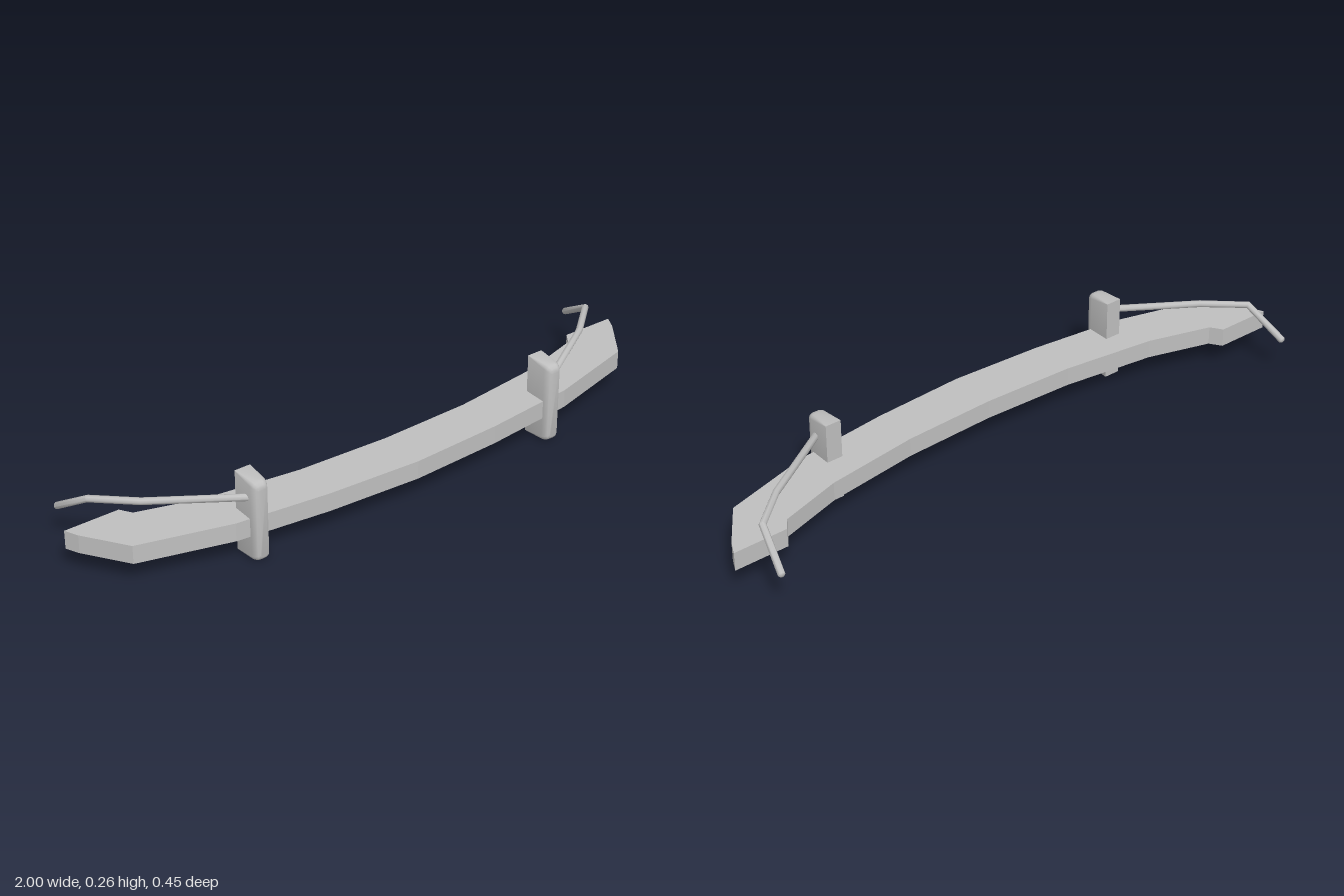
import * as THREE from 'three';
import { toCreasedNormals } from 'three/addons/utils/BufferGeometryUtils.js';

// Skin a row of equal-length rings (counter-clockwise about the travel direction) and cap both ends
function loft(rings, crease) {
  const n = rings[0].length;
  const index = [];
  for (let i = 0; i < rings.length - 1; i++) {
    for (let j = 0; j < n; j++) {
      const a = i * n + j, b = i * n + (j + 1) % n;
      index.push(a, b, a + n, b, b + n, a + n);
    }
  }
  const last = (rings.length - 1) * n;
  for (let j = 1; j < n - 1; j++) {
    index.push(0, j + 1, j, last, last + j, last + j + 1);
  }
  const geometry = new THREE.BufferGeometry().setFromPoints(rings.flat());
  geometry.setIndex(index);
  return toCreasedNormals(geometry, crease);
}

// Upright rectangle with rounded corners at depth z
function roundedRing(halfW, halfH, radius, z) {
  const ring = [];
  const corners = [[1, 1], [-1, 1], [-1, -1], [1, -1]];
  corners.forEach(([sx, sy], c) => {
    for (let k = 0; k <= 3; k++) {
      const a = (c + k / 3) * Math.PI / 2;
      ring.push(new THREE.Vector3(
        sx * (halfW - radius) + radius * Math.cos(a),
        sy * (halfH - radius) + radius * Math.sin(a), z));
    }
  });
  return ring;
}

// Bent rod with mitred joints and slightly rounded tips
function rod(points, radius, sides = 8) {
  const up = new THREE.Vector3(0, 1, 0);
  const rings = [];
  const addRing = (p, t, r) => {
    const u = new THREE.Vector3().crossVectors(up, t).normalize();
    const v = new THREE.Vector3().crossVectors(t, u);
    rings.push(Array.from({ length: sides }, (_, k) => {
      const a = k / sides * Math.PI * 2;
      return p.clone().addScaledVector(u, r * Math.cos(a)).addScaledVector(v, r * Math.sin(a));
    }));
  };
  const end = points.length - 1;
  points.forEach((p, i) => {
    const t = new THREE.Vector3();
    if (i > 0) t.add(p.clone().sub(points[i - 1]).normalize());
    if (i < end) t.add(points[i + 1].clone().sub(p).normalize());
    t.normalize();
    if (i === 0) addRing(p.clone().addScaledVector(t, -radius * 0.5), t, radius * 0.55);
    addRing(p, t, radius);
    if (i === end) addRing(p.clone().addScaledVector(t, radius * 0.5), t, radius * 0.55);
  });
  return loft(rings, 0.9);
}

export function createModel() {
  const model = new THREE.Group();
  model.name = 'bumper';
  const metal = new THREE.MeshStandardMaterial({ color: 0xbfbfbf });
  metal.name = 'grey metal';

  const add = (geometry, name) => {
    const mesh = new THREE.Mesh(geometry, metal);
    mesh.name = name;
    model.add(mesh);
    return mesh;
  };

  // Curved bar: half outline in x and z, mirrored, then extruded in height
  const half = [
    [0, 0.228], [0.3, 0.212], [0.6, 0.178], [0.887, 0.1], [0.98, -0.033], [1, -0.075],
    [0.825, -0.075], [0.8, -0.038], [0.6, 0.021], [0.3, 0.06], [0, 0.071],
  ];
  const mirrored = half.slice(1, -1).reverse().map(([x, z]) => [-x, z]);
  const outline = [...half, ...mirrored].map(([x, z]) => new THREE.Vector2(x, z));
  const bar = new THREE.ExtrudeGeometry(new THREE.Shape(outline), { depth: 0.06, bevelEnabled: false });
  bar.rotateX(Math.PI / 2).translate(0, 0.14, 0);
  add(bar, 'bumperBar');

  // Upright guard: square at the back, rounded toward the front
  const guard = loft([
    roundedRing(0.026, 0.1325, 0.0005, 0.113),
    roundedRing(0.026, 0.1325, 0.014, 0.187),
    roundedRing(0.0235, 0.129, 0.014, 0.199),
    roundedRing(0.019, 0.123, 0.013, 0.207),
    roundedRing(0.012, 0.116, 0.009, 0.21),
  ], 0.7);

  for (const side of [1, -1]) {
    const name = side > 0 ? 'left' : 'right';
    add(guard, name + 'Guard').position.set(side * 0.53, 0.1325, 0);

    // Stay rod sweeping outward and back, with a drooping tip
    const path = [
      [0.545, 0.204, 0.174], [0.8, 0.204, 0.01], [0.912, 0.204, -0.09], [0.942, 0.124, -0.217],
    ].map(([x, y, z]) => new THREE.Vector3(side * x, y, z));
    add(rod(path, 0.011), name + 'StayRod');
  }
  return model;
}
